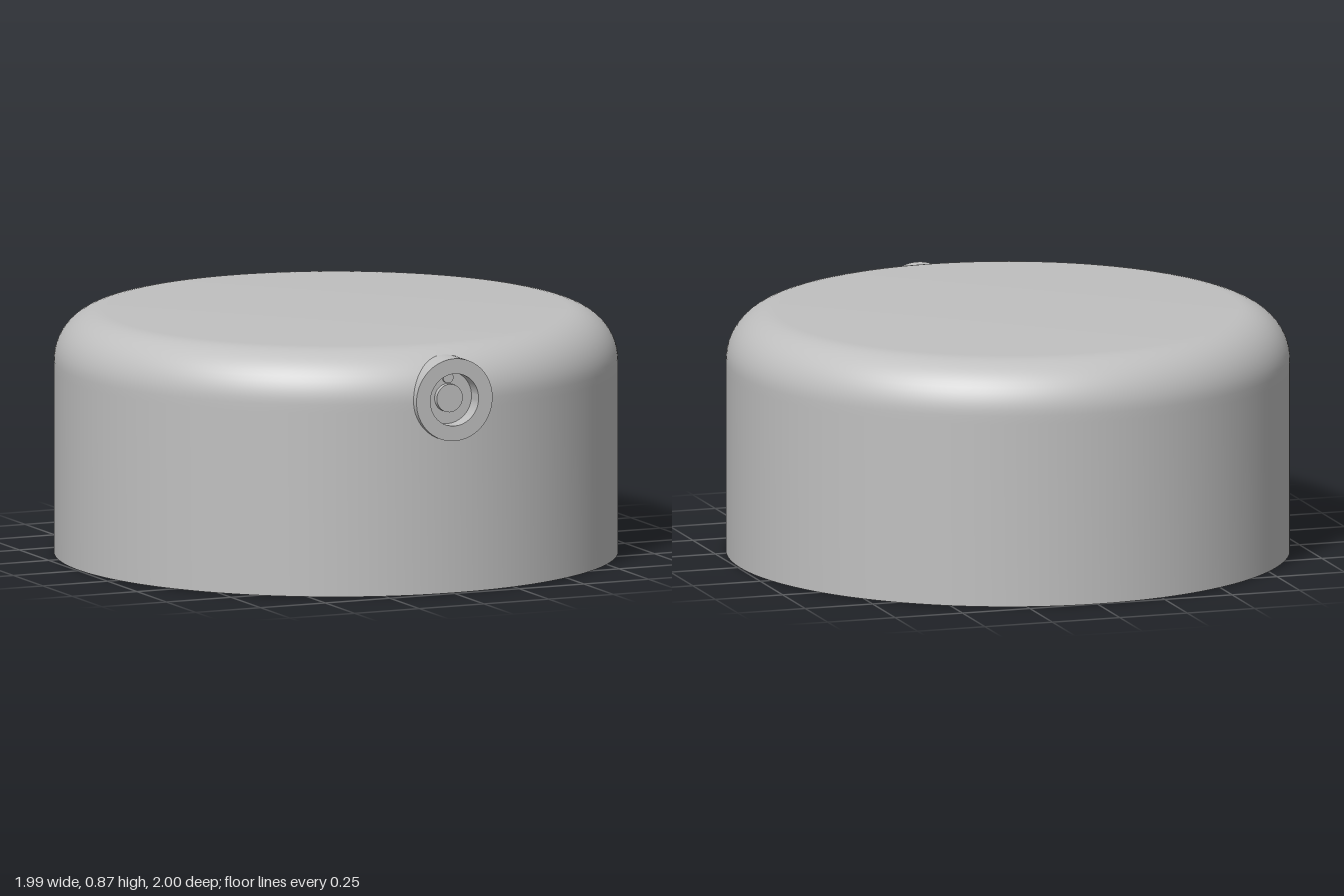
import * as THREE from 'three';
import { toCreasedNormals } from 'three/addons/utils/BufferGeometryUtils.js';

const R = 0.993, H = 0.865, FILLET = 0.18;
const INNER_R = 0.93, CEILING = 0.805, INNER_FILLET = 0.13;
const CENTER_Z = -0.007;
const BOSS_Y = 0.69, BOSS_R = 0.147, POCKET_R = 0.093, POCKET_Z = 0.94;

const lathe = (points, segments) =>
  new THREE.LatheGeometry(points.map(([r, y]) => new THREE.Vector2(r, y)), segments);

// quarter round in the corner of a cylinder, from the wall up to the flat top
function quarter(radius, top, f, steps) {
  return Array.from({ length: steps + 1 }, (_, i) => {
    const a = (i / steps) * Math.PI / 2;
    return [radius - f + f * Math.cos(a), top - f + f * Math.sin(a)];
  });
}

// remove the skin behind the front pocket so that it stays open
function openPocket(geometry) {
  const p = geometry.attributes.position, index = geometry.index.array, kept = [];
  const c = new THREE.Vector3(), v = new THREE.Vector3();
  for (let i = 0; i < index.length; i += 3) {
    c.set(0, 0, 0);
    for (let k = 0; k < 3; k++) c.add(v.fromBufferAttribute(p, index[i + k]));
    c.divideScalar(3);
    const hidden = c.z > 0 && Math.hypot(c.x, c.z) > 0.934 && Math.hypot(c.x, c.y - BOSS_Y) < 0.12;
    if (!hidden) kept.push(index[i], index[i + 1], index[i + 2]);
  }
  geometry.setIndex(kept);
  return geometry;
}

export function createModel() {
  const group = new THREE.Group();
  const grey = new THREE.MeshStandardMaterial({ color: 0xc0c0c0 });
  grey.name = 'grey';

  const add = (name, geometry, x = 0, y = 0, z = 0) => {
    const mesh = new THREE.Mesh(toCreasedNormals(geometry, 0.6), grey);
    mesh.name = name;
    mesh.position.set(x, y, z);
    group.add(mesh);
  };

  // hollow cap with rounded top edge, open underneath
  const wall = [0.53, 0.555, 0.58, 0.605, 0.63, 0.655].map((y) => [R, y]);
  const shell = lathe([
    [0, CEILING],
    ...quarter(INNER_R, CEILING, INNER_FILLET, 10).reverse(),
    [INNER_R, 0], [R, 0],
    ...wall,
    ...quarter(R, H, FILLET, 14),
    [0, H],
  ], 192);
  add('shell', openPocket(shell), 0, 0, CENTER_Z);

  // central hub with a blind shaft bore
  add('hub', lathe([[0, 0.72], [0.115, 0.72], [0.115, 0.39], [0.204, 0.39], [0.204, 0.83]], 64), 0, 0, CENTER_Z);

  // radial boss from the hub through the wall, with a front pocket
  add('screwBoss', lathe([
    [BOSS_R, 0.14], [BOSS_R, 1], [POCKET_R, 1], [POCKET_R, POCKET_Z], [0, POCKET_Z],
  ], 64).rotateX(Math.PI / 2), 0, BOSS_Y, 0);

  // screw face and small locating dot inside the pocket
  const disc = (r, depth) => new THREE.CylinderGeometry(r, r, depth, 32).rotateX(Math.PI / 2);
  add('screwFace', disc(0.05, 0.02), 0, BOSS_Y, POCKET_Z + 0.01);
  add('locatingDot', disc(0.02, 0.008), 0, BOSS_Y + 0.072, POCKET_Z + 0.004);

  return group;
}
